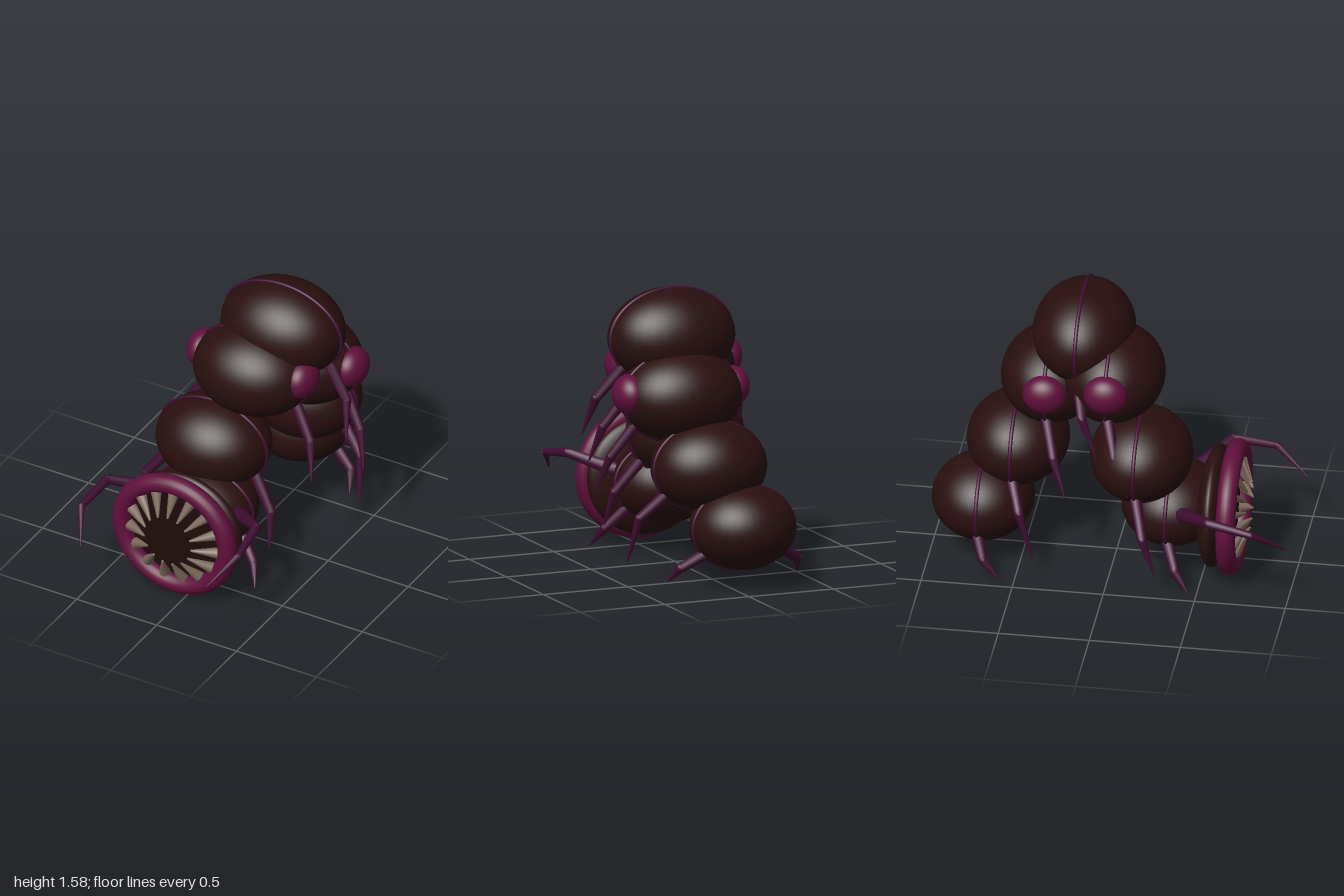
import * as THREE from 'three';

const mat = (name, color) => {
  const m = new THREE.MeshStandardMaterial({ color });
  m.name = name;
  return m;
};

export function createModel() {
  const model = new THREE.Group();
  model.name = 'segmentedWorm';
  const hide = mat('dark brown hide', 0x2a0f0f);
  const limbMat = mat('dark purple limbs', 0x3f0d30);
  const flesh = mat('crimson purple flesh', 0x600f3b);
  const bone = mat('dull bone', 0x7d6a5c);
  const throatMat = mat('throat', 0x1e0a0a);

  const add = (parent, name, geo, material, pos, scale = [1, 1, 1]) => {
    const m = new THREE.Mesh(geo, material);
    m.name = name;
    m.position.set(...pos);
    m.scale.set(...scale);
    parent.add(m);
    return m;
  };
  const ball = new THREE.SphereGeometry(1, 40, 28);
  const up = new THREE.Vector3(0, 1, 0);

  // Tapered rod from a to b
  const rod = (parent, name, a, b, ra, rb, material, sides = 8) => {
    const p = new THREE.Vector3(...a), q = new THREE.Vector3(...b);
    const d = q.clone().sub(p);
    const m = add(parent, name, new THREE.CylinderGeometry(rb, ra, d.length(), sides),
      material, p.clone().add(q).multiplyScalar(0.5).toArray());
    m.quaternion.setFromUnitVectors(up, d.normalize());
  };

  // Jointed limb through several points
  const limb = (parent, name, pts, radii) => {
    const g = new THREE.Group();
    g.name = name;
    parent.add(g);
    for (let i = 0; i < pts.length - 1; i++) {
      rod(g, name + 'Section', pts[i], pts[i + 1], radii[i], radii[i + 1], limbMat);
      if (i > 0) add(g, name + 'Joint', new THREE.SphereGeometry(radii[i], 8, 6), limbMat, pts[i]);
    }
  };

  // Body segments: centre, half width, half height, leg knee and tip, side bulges
  const longKnee = [0.39, -0.32, 0.06], longTip = [0.44, -0.52, 0.135];
  const segments = [
    { c: [-0.085, 0.385, 0.32], rx: 0.30, ry: 0.23, knee: [0.335, -0.25, 0.06], tip: [0.39, -0.355, 0.14] },
    { c: [-0.125, 0.69, 0.155], rx: 0.33, ry: 0.25, knee: longKnee, tip: [0.42, -0.51, 0.13] },
    { c: [0.02, 1.10, -0.02], rx: 0.345, ry: 0.255, knee: longKnee, tip: longTip, bulge: true },
    { c: [0.108, 1.305, -0.195], rx: 0.36, ry: 0.267, knee: [0.425, -0.32, 0.05], tip: [0.47, -0.53, 0.135] },
    { c: [0.13, 1.01, -0.372], rx: 0.345, ry: 0.255, knee: longKnee, tip: [0.455, -0.525, 0.135], bulge: true },
    { c: [0.04, 0.645, -0.547], rx: 0.325, ry: 0.25, knee: [0.385, -0.27, 0.06], tip: [0.42, -0.52, 0.14] },
    { c: [-0.085, 0.33, -0.72], rx: 0.295, ry: 0.233, knee: [0.345, -0.21, 0.05], tip: [0.385, -0.30, 0.14] },
  ];
  const bandGeo = new THREE.TorusGeometry(1, 0.03, 8, 64);
  segments.forEach(({ c, rx, ry, knee, tip, bulge }, i) => {
    const g = new THREE.Group();
    g.name = 'bodySegment' + (i + 1);
    g.position.set(...c);
    model.add(g);
    add(g, 'segmentBody', ball, hide, [0, 0, 0], [rx, ry, 0.28]);
    add(g, 'segmentBand', bandGeo, limbMat, [0, 0, 0], [rx, ry, 0.35]);
    for (const s of [1, -1]) {
      const side = s > 0 ? 'left' : 'right';
      const flip = ([x, y, z]) => [s * x, y, z];
      limb(g, side + 'Leg', [flip([rx * 0.75, -0.13, 0]), flip(knee), flip(tip)], [0.034, 0.027, 0.004]);
      if (bulge) add(g, side + 'Bulge', ball, flesh, [s * 0.305, 0.03, 0], [0.09, 0.11, 0.12]);
    }
  });

  // Head with round lip and throat
  const head = new THREE.Group();
  head.name = 'head';
  head.position.set(-0.083, 0.373, 0);
  model.add(head);
  add(head, 'headBack', ball, hide, [0, 0, 0.555], [0.36, 0.33, 0.09]);
  add(head, 'lip', new THREE.TorusGeometry(0.325, 0.054, 20, 72), flesh, [0, 0, 0.656], [1.01, 0.975, 1]);
  add(head, 'throat', new THREE.CircleGeometry(0.32, 48), throatMat, [0, 0, 0.648]);

  // Ring of teeth leaning inward and forward
  const count = 15;
  for (let i = 0; i < count; i++) {
    const a = Math.PI / 2 + (i / count) * Math.PI * 2;
    const at = (r, z) => [Math.cos(a) * r, Math.sin(a) * r, z];
    rod(head, 'tooth', at(0.285, 0.66), at(0.145, 0.738), 0.034, 0.006, bone, 10);
  }

  // Long jointed feelers reaching past the mouth
  for (const s of [1, -1]) {
    limb(head, s > 0 ? 'leftFeeler' : 'rightFeeler',
      [[s * 0.22, 0.06, 0.38], [s * 0.465, 0.155, 0.58], [s * 0.49, 0.115, 0.82], [s * 0.393, -0.013, 1.0]],
      [0.045, 0.027, 0.02, 0.003]);
  }
  return model;
}
